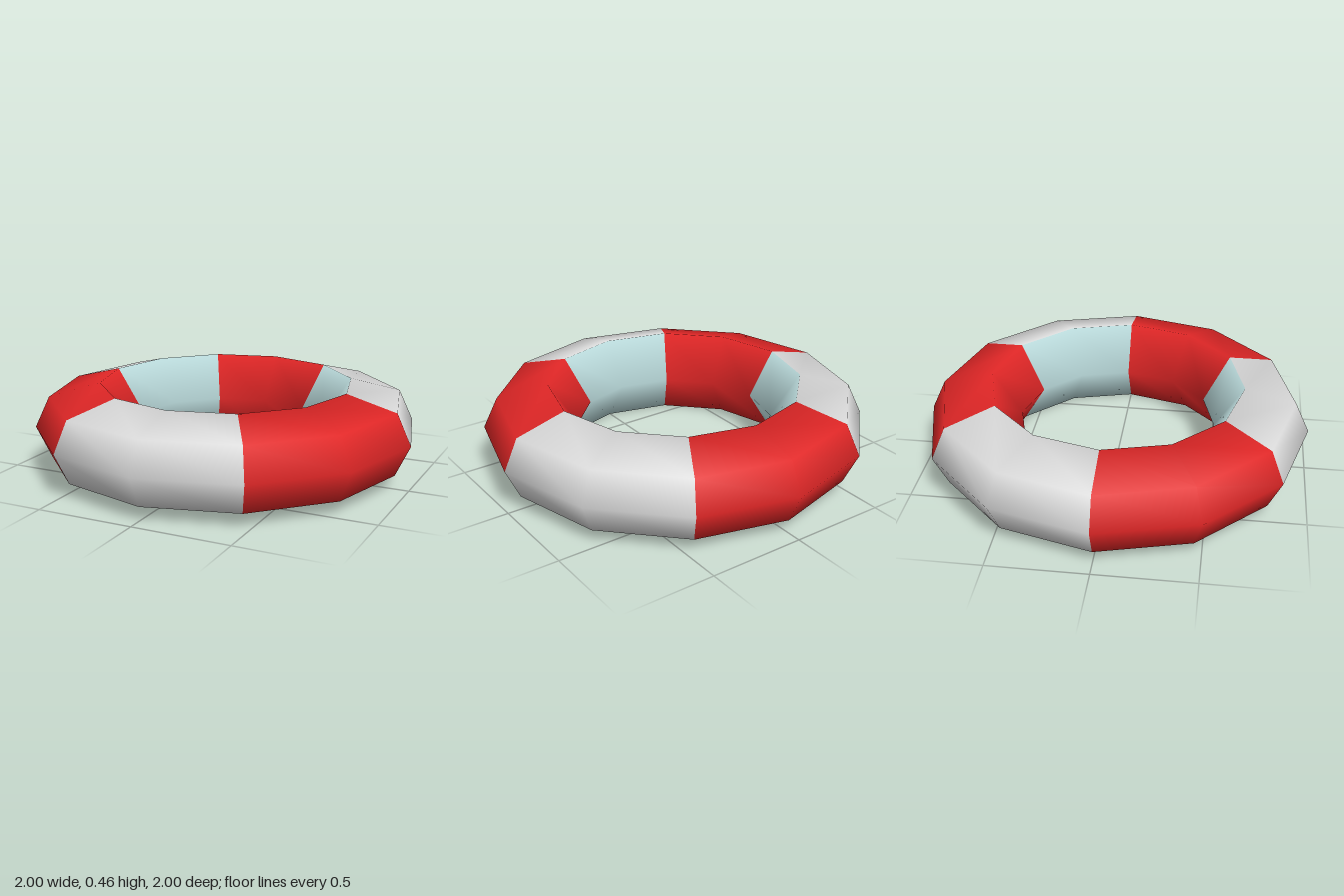
import * as THREE from 'three';
import { mergeVertices } from 'three/addons/utils/BufferGeometryUtils.js';

const material = (name, color) => {
  const m = new THREE.MeshStandardMaterial({ color });
  m.name = name;
  return m;
};

export function createModel() {
  const group = new THREE.Group();
  group.name = 'lifeRing';
  const materials = [
    material('red', 0xdf2626),
    material('white', 0xdadada),
    material('paleBlue', 0xbadadb),
  ];

  // Closed cross-section (radius, height), starting at the inner rim
  const profile = [
    [0.51, 0.23], [0.66, 0], [0.925, 0.07], [1, 0.23],
    [0.925, 0.39], [0.66, 0.46], [0.51, 0.23],
  ].map(([r, y]) => new THREE.Vector2(r, y));
  const segments = 12;
  const faces = profile.length - 1;

  // Weld the ring so that its normals are smooth all round
  let ring = new THREE.LatheGeometry(profile, segments);
  ring.deleteAttribute('uv');
  ring.deleteAttribute('normal');
  ring = mergeVertices(ring, 1e-4);
  ring.computeVertexNormals();

  // Alternating red and white bands, with pale blue inside the white ones
  ring.clearGroups();
  for (let i = 0; i < segments; i++) {
    const isRed = Math.floor((i + 1) / 2) % 2 === 1;
    for (let j = 0; j < faces; j++) {
      const inner = j === 0 || j === faces - 1;
      ring.addGroup((i * faces + j) * 6, 6, isRed ? 0 : inner ? 2 : 1);
    }
  }

  const mesh = new THREE.Mesh(ring, materials);
  mesh.name = 'stripedRing';
  group.add(mesh);
  return group;
}
